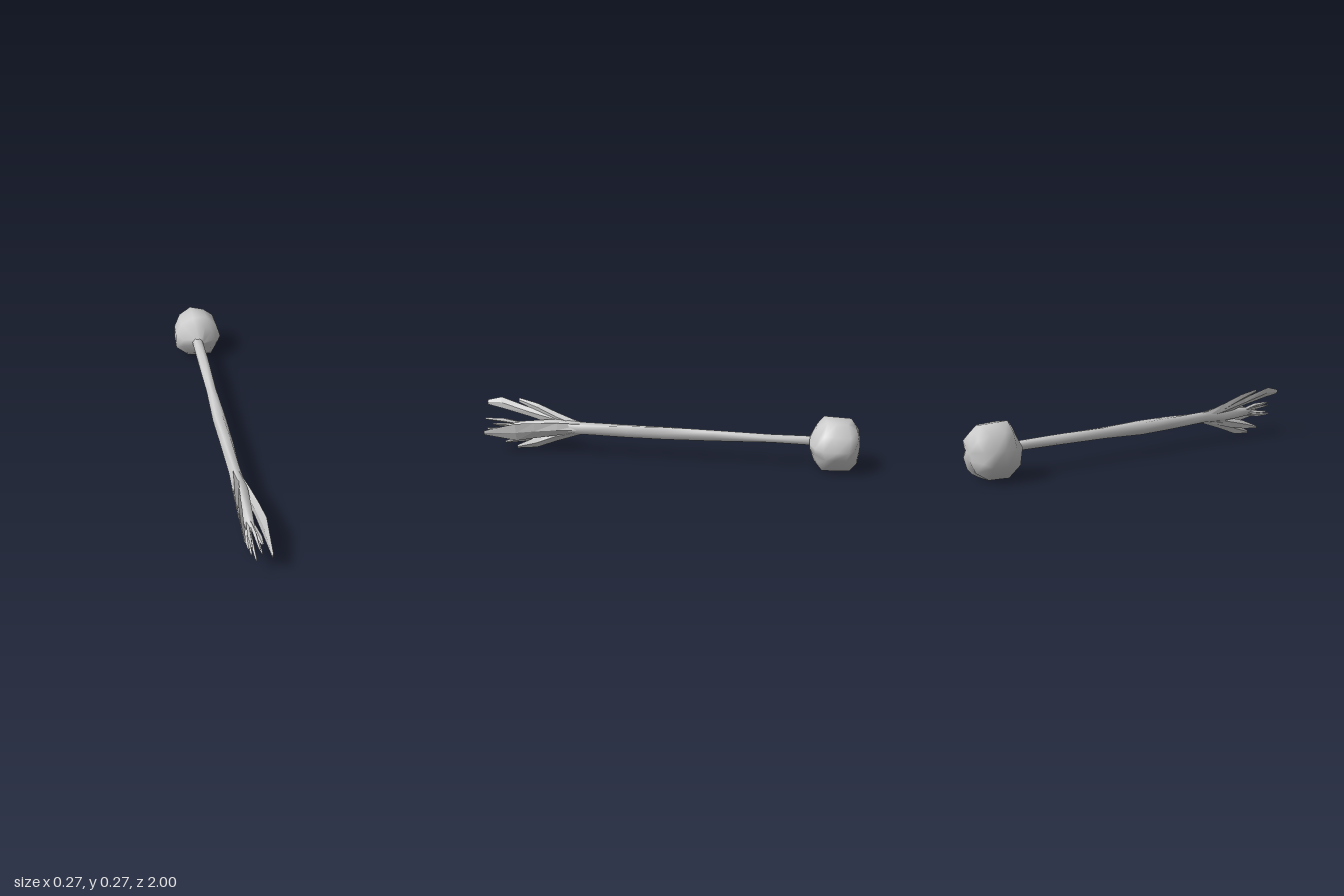
import * as THREE from 'three';

const material = new THREE.MeshStandardMaterial({ color: 0xcccccc });
const crisp = new THREE.MeshStandardMaterial({ color: 0xcccccc, flatShading: true, side: THREE.DoubleSide });

// Skin a closed surface over rings of points, ordered along +z
function loft(name, rings, mat) {
  const n = rings[0].length;
  const center = (ring) => ring.reduce((s, p) => s.add(p), new THREE.Vector3()).divideScalar(n);
  const points = [...rings.flat(), center(rings[0]), center(rings.at(-1))];
  const first = points.length - 2, last = points.length - 1, end = (rings.length - 1) * n;
  const index = [];
  for (let j = 0; j < n; j++) {
    const k = (j + 1) % n;
    for (let i = 0; i < end; i += n) {
      index.push(i + j, i + k, i + n + j, i + k, i + n + k, i + n + j);
    }
    index.push(first, k, j, last, end + j, end + k);
  }
  const geometry = new THREE.BufferGeometry().setFromPoints(points);
  geometry.setIndex(index);
  geometry.computeVertexNormals();
  const mesh = new THREE.Mesh(geometry, mat);
  mesh.name = name;
  return mesh;
}

// Elliptical ring: half width w along the angle turn (degrees), half thickness t across it
function ring(sides, x, y, z, w, t, turn) {
  const a = THREE.MathUtils.degToRad(turn);
  return Array.from({ length: sides }, (_, j) => {
    const q = (j / sides) * Math.PI * 2;
    const u = w * Math.cos(q), v = t * Math.sin(q);
    return new THREE.Vector3(x + u * Math.cos(a) - v * Math.sin(a), y + u * Math.sin(a) + v * Math.cos(a), z);
  });
}

export function createModel() {
  const group = new THREE.Group();

  // Faceted round bulb at the back: one irregular outline scaled along z
  const outline = [[0.132, 0.125], [0.11, 0.2], [0.05, 0.255], [-0.03, 0.268], [-0.1, 0.225], [-0.133, 0.15],
    [-0.135, 0.075], [-0.06, 0.002], [0.02, 0.001], [0.075, 0.01], [0.12, 0.08]];
  const bulbProfile = [[-1, 0.3], [-0.985, 0.68], [-0.945, 0.96], [-0.88, 0.98], [-0.825, 1], [-0.785, 0.7], [-0.75, 0.22]];
  group.add(loft('bulb', bulbProfile.map(([z, s], i) => outline.map(([x, y], j) => {
    const wobble = 0.01 * Math.sin(j * 2.3 + i * 1.7);
    return new THREE.Vector3(x * s, 0.135 + (y - 0.135) * s, z + (i > 0 && i < 6 ? wobble : 0));
  })), material));

  // Slightly twisted stem, ending in the flower's core
  const stem = [
    [-0.015, 0.138, -0.78, 0.03, 0.023, 0], [-0.014, 0.138, -0.55, 0.031, 0.024, 20],
    [-0.014, 0.136, -0.25, 0.032, 0.027, 50], [-0.015, 0.135, 0, 0.038, 0.034, 70],
    [-0.012, 0.136, 0.2, 0.037, 0.033, 60], [-0.014, 0.138, 0.45, 0.034, 0.033, 40],
    [-0.014, 0.138, 0.6, 0.044, 0.04, 40], [-0.013, 0.135, 0.7, 0.036, 0.034, 40],
    [-0.013, 0.133, 0.83, 0.024, 0.022, 40],
  ];
  group.add(loft('stem', stem.map((r) => ring(6, ...r)), material));

  // Flat pointed petals: rows of x, y, z, half width, half thickness
  const petals = [
    ['upperLongPetal', 107, [[-0.018, 0.142, 0.45, 0.025, 0.02], [-0.038, 0.17, 0.6, 0.032, 0.016],
      [-0.05, 0.202, 0.75, 0.024, 0.011], [-0.07, 0.243, 0.92, 0.03, 0.008], [-0.076, 0.24, 1, 0.013, 0.004]]],
    ['upperShortPetal', 112, [[-0.018, 0.145, 0.47, 0.025, 0.018], [-0.038, 0.185, 0.6, 0.026, 0.016],
      [-0.058, 0.228, 0.71, 0.022, 0.012], [-0.076, 0.26, 0.82, 0.012, 0.004]]],
    ['leftPetal', 80, [[-0.005, 0.138, 0.45, 0.026, 0.018], [0.02, 0.136, 0.58, 0.036, 0.015],
      [0.042, 0.128, 0.7, 0.044, 0.01], [0.057, 0.118, 0.8, 0.05, 0.008], [0.057, 0.105, 0.98, 0.012, 0.003]]],
    ['lowerPetal', 86, [[-0.014, 0.13, 0.45, 0.024, 0.024], [-0.016, 0.09, 0.6, 0.034, 0.022],
      [-0.015, 0.045, 0.71, 0.03, 0.014], [-0.013, 0.014, 0.82, 0.009, 0.004]]],
    ['lowerSidePetal', 70, [[-0.02, 0.125, 0.5, 0.024, 0.02], [-0.03, 0.09, 0.65, 0.03, 0.015],
      [-0.025, 0.062, 0.78, 0.024, 0.01], [-0.02, 0.035, 0.89, 0.007, 0.004]]],
  ];
  for (const [name, turn, rows] of petals) {
    group.add(loft(name, rows.map((r) => ring(4, ...r, turn)), crisp));
  }

  // Cluster of small spiky stamens at the front
  const stamens = new THREE.Group();
  stamens.name = 'stamens';
  for (let i = 0; i < 6; i++) {
    const a = (i / 6) * Math.PI * 2 + 0.3;
    const tip = 0.94 + 0.05 * ((i * 2) % 3) / 2;
    const rows = [[0.01, 0.78, 0.009], [0.027, 0.89, 0.013], [0.032, tip, 0.006]];
    stamens.add(loft('stamen', rows.map(([r, z, w]) =>
      ring(4, -0.013 + r * Math.cos(a), 0.135 + r * Math.sin(a), z, w, w * 0.7, a * 57.3)), crisp));
  }
  group.add(stamens);
  return group;
}
